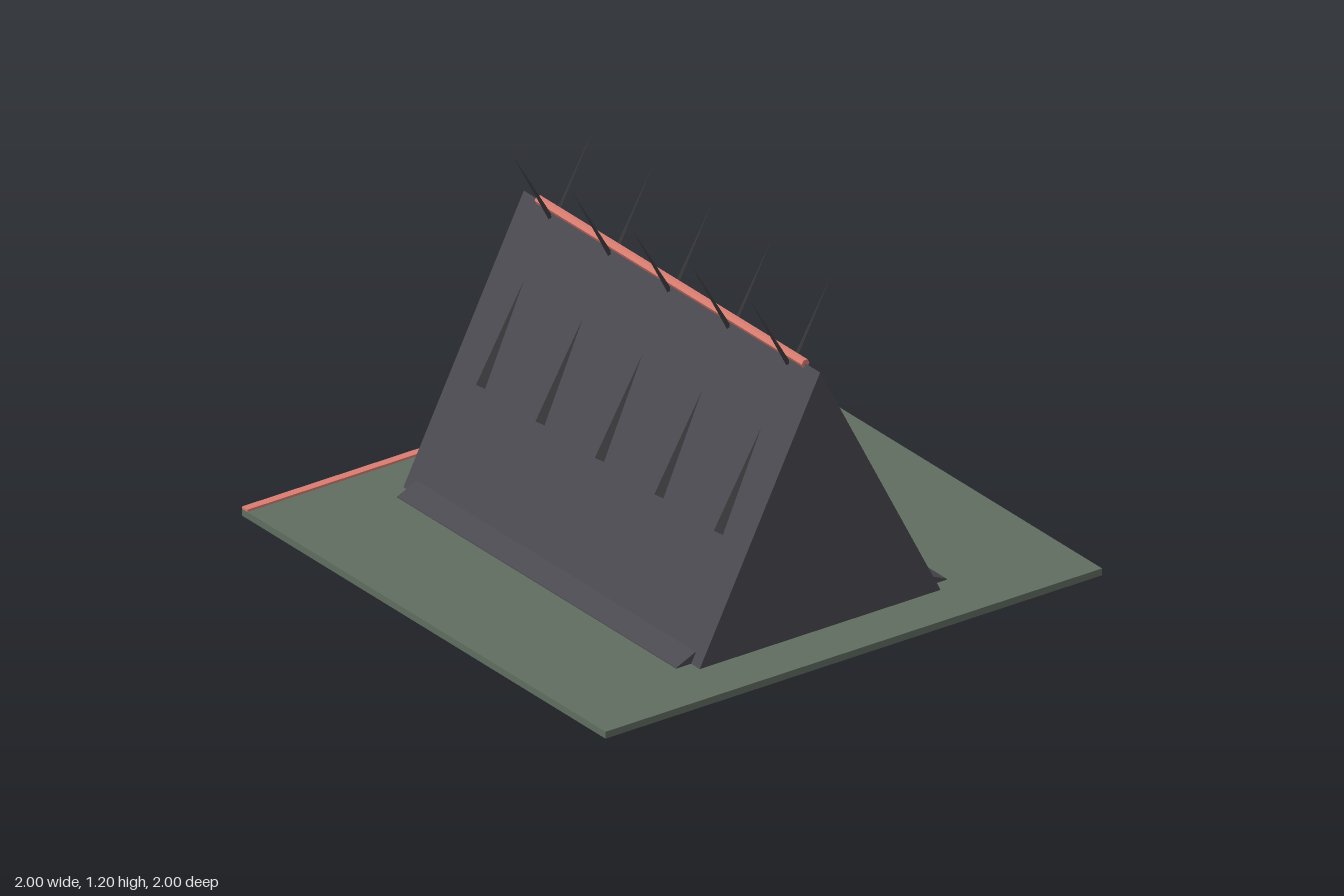
import * as THREE from 'three';

const BASE_H = 0.025;

function material(name, color) {
  const m = new THREE.MeshStandardMaterial({ color, flatShading: true });
  m.name = name;
  return m;
}

// Prism with an x-y outline, extruded along z and centred on z = 0
function prism(points, depth) {
  const shape = new THREE.Shape(points.map(([x, y]) => new THREE.Vector2(x, y)));
  const geo = new THREE.ExtrudeGeometry(shape, { depth, bevelEnabled: false });
  return geo.translate(0, 0, -depth / 2);
}

export function createModel() {
  const group = new THREE.Group();
  const moss = material('moss green', 0x616d60);
  const slate = material('dark slate', 0x4a494f);
  const charcoal = material('charcoal', 0x3b3b3d);
  const coral = material('coral', 0xd97c70);

  const add = (name, geo, mat, x = 0, y = 0, z = 0) => {
    const mesh = new THREE.Mesh(geo, mat);
    mesh.name = name;
    mesh.position.set(x, y, z);
    group.add(mesh);
    return mesh;
  };

  // Ground slab with a thin strip along the back edge
  add('groundSlab', new THREE.BoxGeometry(2, BASE_H, 2), moss, 0, BASE_H / 2, 0);
  add('backEdgeStrip', new THREE.BoxGeometry(2, 0.008, 0.03), coral, 0, BASE_H + 0.004, -0.985);

  // Tent-shaped body
  add('body', prism([[-0.485, BASE_H], [0.485, BASE_H], [0, 0.96]], 1.63), slate);

  // Sloping skirts along the foot of each side
  const skirt = [[0.44, BASE_H], [0.545, BASE_H], [0.545, 0.028], [0.466, 0.063], [0.44, 0.063]];
  add('leftSkirt', prism(skirt, 1.535), slate);
  add('rightSkirt', prism(skirt.map(([x, y]) => [-x, y]).reverse(), 1.535), slate);

  // Ridge bar
  const ridge = new THREE.CylinderGeometry(0.0155, 0.0155, 1.47, 6);
  ridge.rotateY(Math.PI / 6).rotateX(Math.PI / 2);
  add('ridgeBar', ridge, coral, 0, 0.96, 0);

  // Long tapered poles that cross over the ridge, one from each side
  const up = new THREE.Vector3(0, 1, 0);
  for (let i = -2; i <= 2; i++) {
    for (const side of [1, -1]) {
      const foot = new THREE.Vector3(side * 0.288, 0.398, i * 0.327);
      const tip = new THREE.Vector3(side * -0.162, 1.2, i * 0.327);
      const dir = tip.clone().sub(foot);
      const mid = foot.clone().add(tip).multiplyScalar(0.5);
      const pole = add(side > 0 ? 'leftPole' : 'rightPole',
        new THREE.ConeGeometry(0.026, dir.length(), 4), charcoal, mid.x, mid.y, mid.z);
      pole.quaternion.setFromUnitVectors(up, dir.normalize());
    }
  }

  // Tapered marker on the back wall
  add('backSpike', new THREE.ConeGeometry(0.041, 0.45, 4), coral, 0, 0.293, -0.824);

  return group;
}
